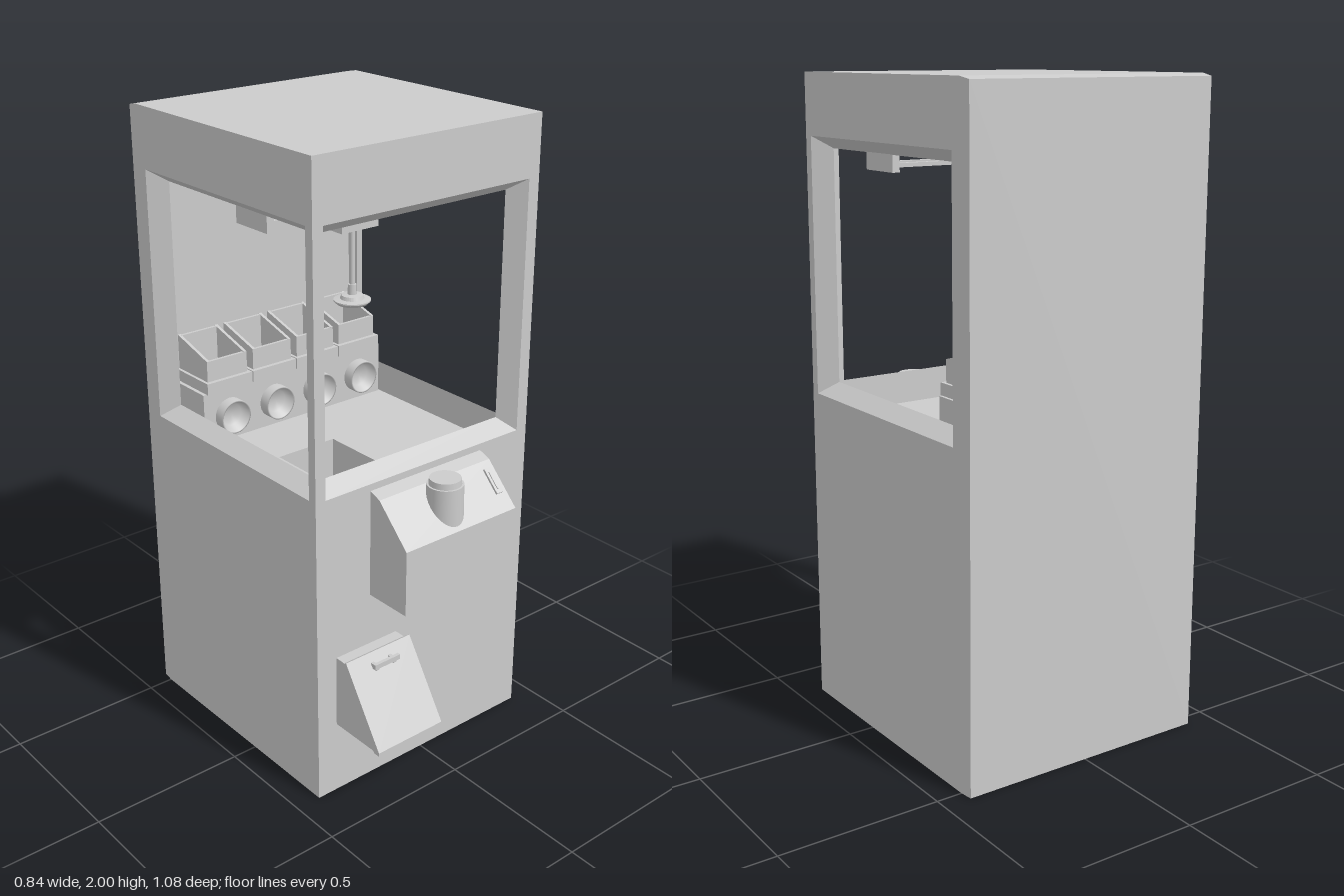
import * as THREE from 'three';

const solid = new THREE.MeshStandardMaterial({ color: 0xcccccc });
const thin = new THREE.MeshStandardMaterial({ color: 0xcccccc, side: THREE.DoubleSide });
const faceted = new THREE.MeshStandardMaterial({ color: 0xcccccc, side: THREE.DoubleSide, flatShading: true });

function add(parent, name, geometry, material = solid) {
  const mesh = new THREE.Mesh(geometry, material);
  mesh.name = name;
  parent.add(mesh);
  return mesh;
}

// Box given by its limits on each axis
function box(x0, x1, y0, y1, z0, z1) {
  return new THREE.BoxGeometry(x1 - x0, y1 - y0, z1 - z0)
    .translate((x0 + x1) / 2, (y0 + y1) / 2, (z0 + z1) / 2);
}

// Corners of a rectangle, counter-clockwise
const corners = ([u0, u1, v0, v1]) => [[u0, v0], [u1, v0], [u1, v1], [u0, v1]];
const toShape = (pts) => new THREE.Shape(pts.map((p) => new THREE.Vector2(...p)));

function panel(rect, hole) {
  const shape = toShape(corners(rect));
  if (hole) shape.holes.push(toShape(corners(hole)));
  return shape;
}

// Sloping faces joining two rectangles at different depths; first = 1 leaves out the bottom
function reveal(rectA, zA, rectB, zB, first = 0) {
  const a = corners(rectA), b = corners(rectB), pos = [];
  for (let i = first; i < 4; i++) {
    const j = (i + 1) % 4;
    const [p, q, r, s] = [[...a[i], zA], [...a[j], zA], [...b[j], zB], [...b[i], zB]];
    pos.push(...p, ...q, ...r, ...p, ...r, ...s);
  }
  const g = new THREE.BufferGeometry();
  g.setAttribute('position', new THREE.Float32BufferAttribute(pos, 3));
  g.computeVertexNormals();
  return g;
}

// Profile of [z, y] points extruded along x
function extrudeX(points, x0, x1) {
  return new THREE.ExtrudeGeometry(toShape(points), { depth: x1 - x0, bevelEnabled: false })
    .rotateY(-Math.PI / 2).translate(x1, 0, 0);
}

const lathe = (pts) => new THREE.LatheGeometry(pts.map((p) => new THREE.Vector2(...p)), 32);

// Thin outer skin, sloping window frame and inner lining
function windowWall(name, outer, hole, innerHole, lining) {
  const depth = 0.055, wall = new THREE.Group();
  wall.name = name;
  add(wall, 'outerPanel', new THREE.ShapeGeometry(panel(outer, hole)), thin);
  add(wall, 'windowFrame', reveal(hole, 0, innerHole, -depth), thin);
  add(wall, 'innerLining', new THREE.ShapeGeometry(panel(lining, innerHole)).translate(0, 0, -depth), thin);
  return wall;
}

const W = 0.418, FRONT = 0.335, BACK = -0.54, IN = 0.363, INBACK = -0.47, FLOOR = 0.95, CEIL = 1.812;

function cabinet() {
  const g = new THREE.Group();
  g.name = 'cabinet';
  const front = windowWall('frontWall', [-W, W, 0, 2], [-0.382, 0.378, 1.016, 1.812],
    [-0.342, 0.338, 1.053, 1.775], [-IN, IN, FLOOR, CEIL]);
  front.position.z = FRONT;
  g.add(front);
  for (const s of [1, -1]) {
    const side = windowWall('sideWall', [-FRONT, 0.5, 0, 2], [-0.305, 0.465, 1.016, 1.812],
      [-0.265, 0.425, 1.053, 1.775], [-0.28, -INBACK, FLOOR, CEIL]);
    side.rotation.y = Math.PI / 2;
    side.position.x = W;
    const holder = new THREE.Group();
    holder.name = s > 0 ? 'leftSide' : 'rightSide';
    holder.add(side);
    holder.scale.x = s;
    g.add(holder);
  }
  // Roof and slightly tapered back
  add(g, 'roof', new THREE.PlaneGeometry(2 * W, FRONT + 0.5).rotateX(-Math.PI / 2)
    .translate(0, 2, (FRONT - 0.5) / 2), thin);
  add(g, 'backTaper', reveal([-W, W, 0, 2], -0.5, [-0.413, 0.413, 0, 1.992], BACK, 1), thin);
  add(g, 'backPanel', new THREE.PlaneGeometry(0.826, 1.992).translate(0, 0.996, BACK), thin);
  // Play area surfaces
  const midZ = (0.28 + INBACK) / 2, deep = 0.28 - INBACK;
  add(g, 'innerBack', new THREE.PlaneGeometry(2 * IN, CEIL - FLOOR)
    .translate(0, (CEIL + FLOOR) / 2, INBACK), thin);
  add(g, 'ceiling', new THREE.PlaneGeometry(2 * IN, deep).rotateX(Math.PI / 2)
    .translate(0, CEIL, midZ), thin);
  add(g, 'playFloor', new THREE.ShapeGeometry(panel([-IN, IN, -0.28, -INBACK], [-0.317, -0.112, -0.27, -0.032]))
    .rotateX(-Math.PI / 2).translate(0, FLOOR, 0), thin);
  // Prize chute running down behind the door
  add(g, 'prizeChute', new THREE.ExtrudeGeometry(
    panel([-0.327, -0.1, -0.325, -0.02], [-0.317, -0.112, -0.315, -0.032]),
    { depth: 0.78, bevelEnabled: false }).rotateX(-Math.PI / 2).translate(0, 0.242, 0));
  add(g, 'chuteBase', box(-0.322, -0.105, 0.242, 0.254, 0.025, 0.32));
  return g;
}

function controlPanel() {
  const g = new THREE.Group();
  g.name = 'controlPanel';
  g.position.set(0.003, -0.006, 0);
  add(g, 'console', extrudeX([[FRONT, 0.655], [0.495, 0.655], [0.495, 0.865], [0.375, 0.985], [FRONT, 1.0]], -0.22, 0.218));
  // Upright knob with a narrower stepped cap
  const knob = new THREE.Group();
  knob.name = 'controlKnob';
  knob.position.set(-0.012, 0, 0.427);
  add(knob, 'knobBody', new THREE.CylinderGeometry(0.056, 0.058, 0.175, 32).translate(0, 0.9075, 0));
  add(knob, 'knobCap', new THREE.CylinderGeometry(0.048, 0.05, 0.022, 32).translate(0, 1.003, 0));
  g.add(knob);
  // Coin slot lying on the sloping face
  const slot = new THREE.Group();
  slot.name = 'coinSlot';
  slot.position.set(0.188, 0.937, 0.423);
  slot.rotation.x = -Math.PI / 4;
  add(slot, 'slotPlate', box(-0.0125, 0.0125, -0.042, 0.042, -0.007, 0.007));
  add(slot, 'slotSlit', box(-0.004, 0.004, -0.03, 0.03, 0, 0.01));
  g.add(slot);
  return g;
}

function prizeDoor() {
  const g = new THREE.Group();
  g.name = 'prizeDoor';
  add(g, 'doorHousing', extrudeX([[FRONT, 0.243], [0.522, 0.243], [0.372, 0.48], [FRONT, 0.48]], -0.347, -0.113));
  add(g, 'doorFlap', extrudeX([[0.518, 0.243], [0.54, 0.243], [0.54, 0.254], [0.388, 0.49], [0.372, 0.48]], -0.353, -0.104));
  add(g, 'handleBar', box(-0.28, -0.183, 0.46, 0.476, 0.425, 0.436));
  for (const x of [-0.265, -0.198]) add(g, 'handlePost', box(x - 0.006, x + 0.006, 0.451, 0.466, 0.395, 0.43));
  return g;
}

function clawCrane() {
  const g = new THREE.Group();
  g.name = 'clawCrane';
  const rails = [0.03, -0.046];
  for (const z of rails) add(g, 'crossRail', box(-IN, IN, 1.737, 1.749, z - 0.01, z + 0.01));
  for (const s of [-1, 1]) {
    add(g, 'endTruck', box(s * 0.353 - 0.012, s * 0.353 + 0.012, 1.725, 1.785, -0.08, 0.065));
    for (const z of rails) {
      const wheel = add(g, 'wheel', new THREE.CylinderGeometry(0.016, 0.016, 0.012, 16).rotateX(Math.PI / 2));
      wheel.position.set(s * 0.045, 1.752, z);
    }
  }
  add(g, 'carriage', box(-0.07, 0.07, 1.66, 1.737, -0.045, 0.027));
  // Cable, hub and stepped disc
  const claw = add(g, 'clawHead', lathe([[0, 1.425], [0.048, 1.425], [0.057, 1.434], [0.057, 1.438], [0.037, 1.441],
    [0.033, 1.452], [0.014, 1.454], [0.013, 1.485], [0.008, 1.485], [0.008, 1.67]]), faceted);
  claw.position.z = -0.011;
  return g;
}

// One prize bin: ledge, open slant-topped tub and round port
function prizeBin(x) {
  const g = new THREE.Group();
  g.name = 'prizeBin';
  g.position.x = x;
  add(g, 'binLedge', box(-0.085, 0.085, 1.12, 1.157, INBACK, -0.298));
  for (const s of [-1, 1]) {
    add(g, 'tubSide', extrudeX([[INBACK, 1.15], [-0.312, 1.15], [-0.312, 1.225], [INBACK, 1.27]],
      s * 0.07 - 0.005, s * 0.07 + 0.005));
  }
  add(g, 'tubFront', box(-0.07, 0.07, 1.15, 1.224, -0.322, -0.312));
  add(g, 'tubBack', box(-0.07, 0.07, 1.15, 1.268, INBACK, INBACK + 0.01));
  const port = add(g, 'roundPort', lathe([[0, 0.008], [0.036, 0.008], [0.05, 0.036], [0.055, 0.036],
    [0.055, -0.005]]).rotateX(Math.PI / 2), thin);
  port.position.set(0, 1.033, -0.306);
  return g;
}

function prizeShelf() {
  const g = new THREE.Group();
  g.name = 'prizeShelf';
  add(g, 'shelfBase', box(-0.355, 0.358, FLOOR, 1.12, INBACK, -0.306));
  for (let i = 0; i < 4; i++) g.add(prizeBin(0.003 + (i - 1.5) * 0.174));
  return g;
}

export function createModel() {
  const model = new THREE.Group();
  model.name = 'clawMachine';
  model.add(cabinet(), controlPanel(), prizeDoor(), clawCrane(), prizeShelf());
  return model;
}
